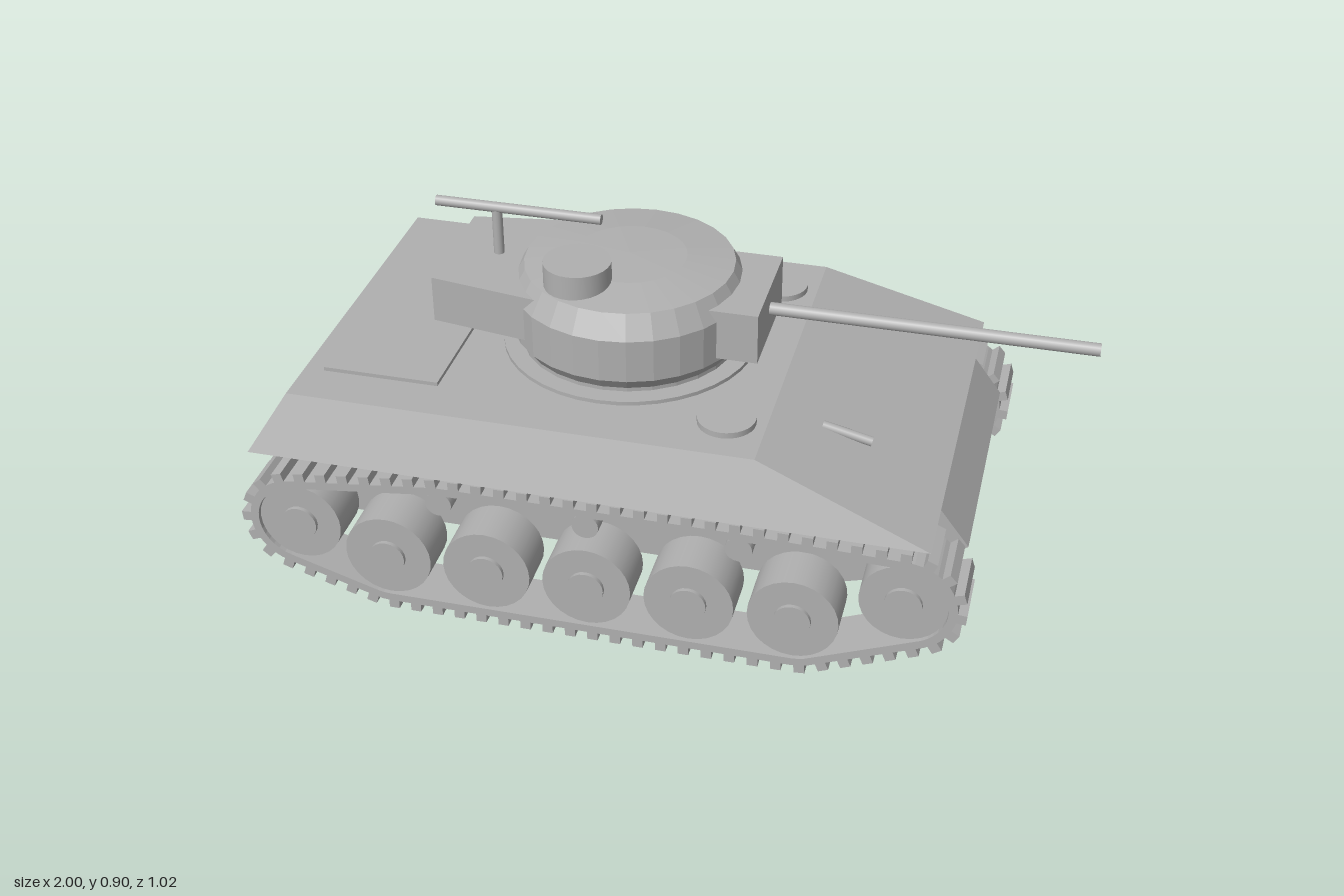
import * as THREE from 'three';

const grey = new THREE.MeshStandardMaterial({ color: 0xb0b0b0 });
grey.name = 'armour grey';

export function createModel() {
  const tank = new THREE.Group();
  tank.name = 'tank';

  const add = (name, geo, x = 0, y = 0, z = 0, parent = tank) => {
    const m = new THREE.Mesh(geo, grey);
    m.name = name;
    m.position.set(x, y, z);
    parent.add(m);
    return m;
  };
  const disc = (r, h, n = 32) => new THREE.CylinderGeometry(r, r, h, n);
  const axle = (r, w, n = 28) => disc(r, w, n).rotateX(Math.PI / 2);
  // Rod between two points
  const rod = (name, a, b, r) => {
    const p = new THREE.Vector3(...a), q = new THREE.Vector3(...b);
    const d = q.clone().sub(p);
    const m = add(name, disc(r, d.length(), 16), ...p.add(q).multiplyScalar(0.5));
    m.quaternion.setFromUnitVectors(new THREE.Vector3(0, 1, 0), d.normalize());
    return m;
  };
  // Box whose corners are moved by a rule (signs in, position out)
  const shapedBox = (rule) => {
    const g = new THREE.BoxGeometry(2, 2, 2), p = g.attributes.position;
    for (let i = 0; i < p.count; i++) p.setXYZ(i, ...rule(p.getX(i), p.getY(i), p.getZ(i)));
    g.computeVertexNormals();
    return g;
  };
  const extrude = (shape, depth) => new THREE.ExtrudeGeometry(shape, { depth, bevelEnabled: false });
  const toShape = (pts) => new THREE.Shape(pts.map(([x, y]) => new THREE.Vector2(x, y)));

  // Hull
  add('upperHull', shapedBox((x, y, z) => y > 0
    ? [x > 0 ? 0.27 : -0.87, 0.57, z * 0.45]
    : [x > 0 ? 0.69 : -0.96, 0.425, z * 0.51]));
  add('lowerHull', extrude(toShape([[-0.96, 0.43], [-0.96, 0.25], [-0.87, 0.16], [0.45, 0.16],
    [0.62, 0.21], [0.76, 0.325], [0.685, 0.425]]), 0.67), 0, 0, -0.335);
  add('engineDeck', new THREE.BoxGeometry(0.29, 0.02, 0.67), -0.675, 0.57, 0);
  for (const s of [1, -1]) add('crewHatch', disc(0.07, 0.03), 0.175, 0.57, s * 0.315);
  rod('bowGun', [0.385, 0.528, 0.215], [0.505, 0.5, 0.215], 0.012);

  // Turret
  add('turretRing', disc(0.315, 0.02, 40), -0.14, 0.57, 0);
  const profile = [[0, 0.57], [0.27, 0.57], [0.27, 0.59], [0.291, 0.62], [0.291, 0.73],
    [0.258, 0.788], [0.14, 0.802], [0, 0.806]].map(([r, y]) => new THREE.Vector2(r, y));
  const turret = new THREE.LatheGeometry(profile, 28).toNonIndexed();
  turret.computeVertexNormals();
  add('turret', turret, -0.14, 0, 0);
  add('turretBustle', shapedBox((x, y, z) =>
    [x > 0 ? -0.3 : -0.595, y > 0 ? 0.762 : 0.643, z * (x > 0 ? 0.205 : 0.16)]));
  add('cupola', disc(0.082, 0.08, 28), -0.23, 0.811, 0.145);
  add('mantlet', new THREE.BoxGeometry(0.16, 0.13, 0.292), 0.13, 0.695, 0);
  rod('mainGun', [0.15, 0.698, 0], [1, 0.698, 0], 0.016);
  rod('gunPost', [-0.475, 0.75, 0], [-0.475, 0.88, 0], 0.013);
  rod('roofGun', [-0.63, 0.887, 0], [-0.21, 0.887, 0], 0.013);

  // Running gear: x, y, radius
  const idler = [-0.855, 0.22, 0.105], sprocket = [0.635, 0.255, 0.105];
  const roadWheels = [0, 1, 2, 3, 4].map((i) => [-0.632 + i * 0.2525, 0.155, 0.11]);
  const rollers = [-0.49, -0.125, 0.245].map((x) => [x, 0.337, 0.033]);

  // Belt line: convex outline around all wheels, grown by t
  const belt = (t) => {
    const pts = [];
    for (const [x, y, r] of [idler, sprocket, ...roadWheels, ...rollers])
      for (let i = 0; i < 40; i++) {
        const a = (i * Math.PI) / 20;
        pts.push(new THREE.Vector2(x + (r + t) * Math.cos(a), y + (r + t) * Math.sin(a)));
      }
    pts.sort((a, b) => a.x - b.x || a.y - b.y);
    const half = (list) => {
      const h = [];
      for (const p of list) {
        while (h.length > 1) {
          const a = h[h.length - 2], b = h[h.length - 1];
          if ((b.x - a.x) * (p.y - a.y) - (b.y - a.y) * (p.x - a.x) > 1e-7) break;
          h.pop();
        }
        h.push(p);
      }
      return h.slice(0, -1);
    };
    return [...half(pts), ...half([...pts].reverse())];
  };
  const band = new THREE.Shape(belt(0.022));
  band.holes.push(new THREE.Path(belt(0.001)));
  const bandGeo = extrude(band, 0.14);
  const outer = belt(0.031);
  const line = new THREE.CurvePath();
  outer.forEach((p, i) => line.add(new THREE.LineCurve(p, outer[(i + 1) % outer.length])));
  const padGeo = new THREE.BoxGeometry(0.026, 0.026, 0.14);
  const PADS = 68;

  for (const s of [1, -1]) {
    const side = new THREE.Group();
    side.name = s > 0 ? 'leftTrack' : 'rightTrack';
    tank.add(side);
    const zc = s * 0.43;
    add('trackBand', bandGeo, 0, 0, zc - 0.07, side);
    for (let i = 0; i < PADS; i++) {
      const p = line.getPointAt(i / PADS), d = line.getTangentAt(i / PADS);
      add('trackPad', padGeo, p.x, p.y, zc, side).rotation.z = Math.atan2(d.y, d.x);
    }
    for (const [x, y, r] of roadWheels) {
      add('roadWheel', axle(r, 0.12), x, y, zc, side);
      add('wheelHub', axle(0.045, 0.18, 20), x, y, s * 0.41, side);
      add('suspensionArm', new THREE.BoxGeometry(0.04, 0.04, 0.08), x, y + 0.02, s * 0.35, side);
    }
    for (const [name, [x, y, r]] of [['idlerWheel', idler], ['driveSprocket', sprocket]]) {
      add(name, axle(r, 0.12), x, y, zc, side);
      add('wheelHub', axle(0.045, 0.17, 20), x, y, s * 0.415, side);
    }
    for (const [x, y, r] of rollers) add('returnRoller', axle(r, 0.16, 20), x, y, s * 0.41, side);
  }
  return tank;
}
